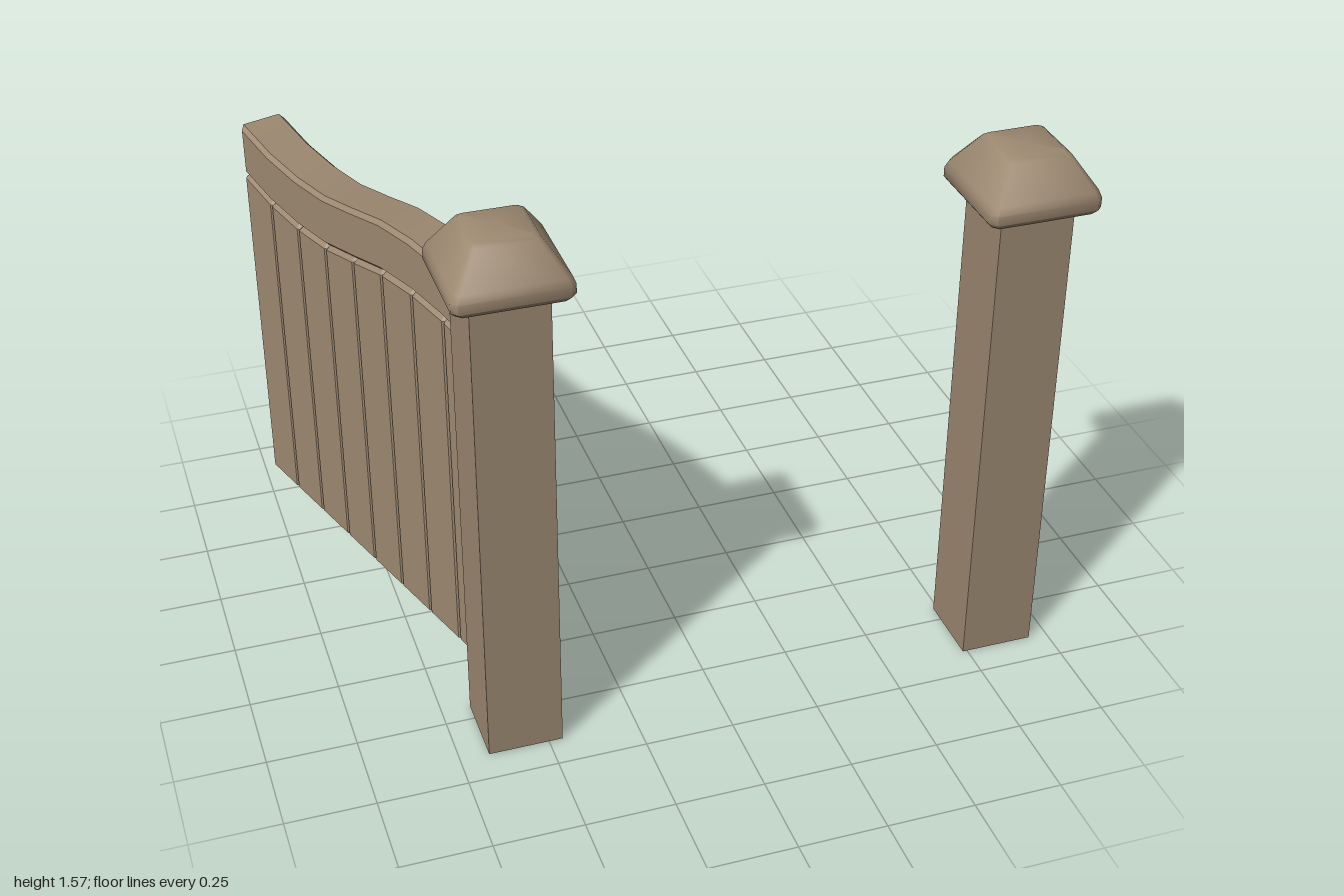
import * as THREE from 'three';
import { toCreasedNormals } from 'three/addons/utils/BufferGeometryUtils.js';

const wood = new THREE.MeshStandardMaterial({ color: 0x9c8870 });
const postWood = new THREE.MeshStandardMaterial({ color: 0x9c8870, flatShading: true, side: THREE.DoubleSide });

const LENGTH = 1.22, THICK = 0.137, PLANKS = 8, STEP = LENGTH / PLANKS, BEVEL = 0.012;
// Height of the seam between planks and rail at each plank joint, from free end to hinge
const WAVE = [1.173, 1.143, 1.133, 1.14, 1.168, 1.199, 1.21, 1.203, 1.18];

function waveAt(s) {
  const t = THREE.MathUtils.clamp(s / STEP, 0, PLANKS);
  const i = Math.min(Math.floor(t), PLANKS - 1);
  return THREE.MathUtils.lerp(WAVE[i], WAVE[i + 1], t - i);
}

function named(name, geometry, material = wood) {
  const mesh = new THREE.Mesh(geometry, material);
  mesh.name = name;
  return mesh;
}

// Square cap with cut corners: each lathe ring becomes a square with chamfers
function capGeometry() {
  const profile = [[0, 1.41], [0.145, 1.41], [0.157, 1.425], [0.157, 1.452], [0.149, 1.473],
    [0.09, 1.56], [0.077, 1.57], [0, 1.57]].map(([r, y]) => new THREE.Vector2(r, y));
  const geo = new THREE.LatheGeometry(profile, 8);
  const pos = geo.attributes.position, n = profile.length;
  for (let v = 0; v < pos.count; v++) {
    const i = Math.floor(v / n) % 8, h = profile[v % n].x, c = Math.min(0.016, h * 0.12);
    const p = new THREE.Vector3(i % 2 ? h : h - c, 0, i % 2 ? h - c : h)
      .applyAxisAngle(new THREE.Vector3(0, 1, 0), Math.floor(i / 2) * Math.PI / 2);
    pos.setX(v, p.x);
    pos.setZ(v, p.z);
  }
  return toCreasedNormals(geo, 0.85);
}

function createPost(name, x) {
  const post = new THREE.Group();
  post.name = name;
  // Hollow square shaft, open at the foot
  const r = 0.104 * Math.SQRT2;
  const shaft = new THREE.CylinderGeometry(r, r, 1.42, 4, 1, true).rotateY(Math.PI / 4).translate(0, 0.71, 0);
  post.add(named('postShaft', shaft, postWood), named('postCap', capGeometry()));
  post.position.set(x, 0, 0.552);
  return post;
}

// Grooved plank panel: plan outline extruded upward, its top bent to the wave
function panelGeometry() {
  const half = THICK / 2, c = 0.008, groove = 0.006;
  const side = [[c, half]];
  for (let i = 1; i < PLANKS; i++) {
    side.push([i * STEP - groove, half], [i * STEP, half - groove], [i * STEP + groove, half]);
  }
  side.push([LENGTH - c, half], [LENGTH, half - c]);
  const back = side.map(([s, t]) => [LENGTH - s, -t]);
  const shape = new THREE.Shape([...side, ...back].map(([s, t]) => new THREE.Vector2(s, t)));
  const geo = new THREE.ExtrudeGeometry(shape, {
    depth: 0.5, bevelThickness: BEVEL, bevelSize: BEVEL, bevelOffset: -BEVEL, bevelSegments: 1,
  }).rotateX(-Math.PI / 2);
  const pos = geo.attributes.position;
  for (let v = 0; v < pos.count; v++) {
    const y = pos.getY(v);
    pos.setY(v, y > 0.25 ? waveAt(pos.getX(v)) + y - 0.5 - BEVEL : y + 0.15 + BEVEL);
  }
  return toCreasedNormals(geo, 0.4);
}

// Wavy top rail
function railGeometry() {
  const bottom = WAVE.map((y, i) => new THREE.Vector2(i * STEP, y));
  const top = WAVE.map((y, i) => new THREE.Vector2(i * STEP, y + 0.151)).reverse();
  const geo = new THREE.ExtrudeGeometry(new THREE.Shape([...bottom, ...top]), {
    depth: THICK - 2 * BEVEL, bevelThickness: BEVEL, bevelSize: BEVEL, bevelOffset: -BEVEL, bevelSegments: 1,
  }).translate(0, 0, BEVEL - THICK / 2);
  return toCreasedNormals(geo, 0.6);
}

export function createModel() {
  const model = new THREE.Group();
  model.name = 'gateway';
  model.add(createPost('rightPost', -0.565), createPost('leftPost', 0.841));

  // Gate leaf swung open behind the right post
  const gate = new THREE.Group();
  gate.name = 'gate';
  gate.add(named('plankPanel', panelGeometry()), named('topRail', railGeometry()));
  gate.position.set(-0.935, 0, -0.69);
  gate.rotation.y = -1.252;
  model.add(gate);
  return model;
}
